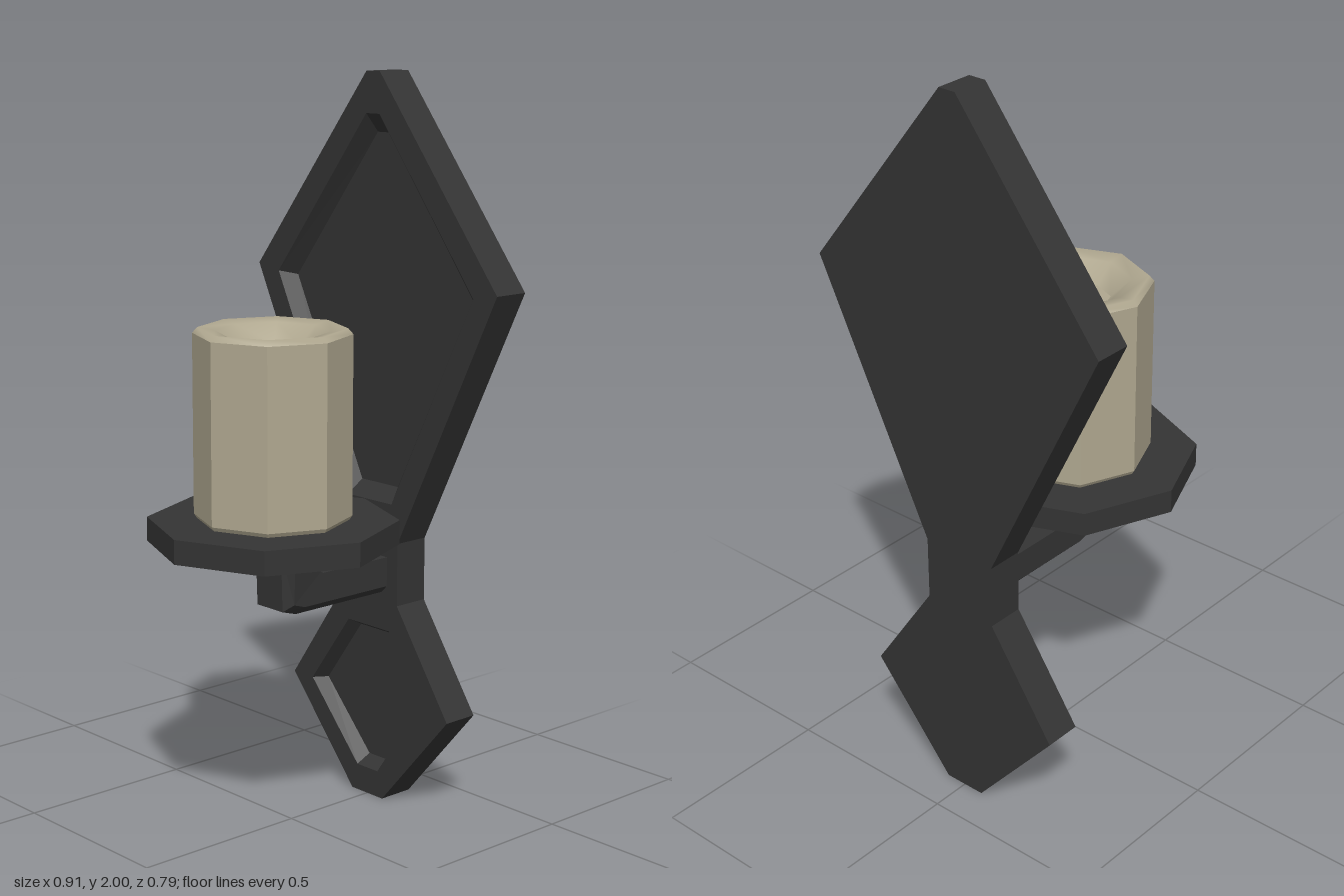
import * as THREE from 'three';

const iron = new THREE.MeshStandardMaterial({ color: 0x343434 });
iron.name = 'dark iron';
const wax = new THREE.MeshStandardMaterial({ color: 0xb0a890 });
wax.name = 'cream wax';

// Flat facets baked into the normals
function faceted(geo) {
  const g = geo.index ? geo.toNonIndexed() : geo;
  g.computeVertexNormals();
  return g;
}

function part(name, geo, material) {
  const mesh = new THREE.Mesh(geo, material);
  mesh.name = name;
  return mesh;
}

// Right half, bottom to top, mirrored into a closed counter-clockwise loop
const mirrored = (half) => [...half, ...half.map(([x, y]) => [-x, y]).reverse()];
const toPoints = (loop) => loop.map(([x, y]) => new THREE.Vector2(x, y));

// Skin a series of equal-length closed rings
function loft(rings) {
  const n = rings[0].length, index = [];
  for (let r = 0; r < rings.length - 1; r++) {
    for (let k = 0; k < n; k++) {
      const a = r * n + k, b = r * n + (k + 1) % n;
      index.push(a, a + n, b + n, a, b + n, b);
    }
  }
  const geo = new THREE.BufferGeometry();
  geo.setAttribute('position', new THREE.Float32BufferAttribute(rings.flat(2), 3));
  geo.setIndex(index);
  return faceted(geo);
}

function slab(loop, holes, z, depth) {
  const shape = new THREE.Shape(toPoints(loop));
  holes.forEach((h) => shape.holes.push(new THREE.Path(toPoints(h))));
  return faceted(new THREE.ExtrudeGeometry(shape, { depth, bevelEnabled: false }).translate(0, 0, z));
}

export function createModel() {
  const model = new THREE.Group();
  model.name = 'wallCandleSconce';
  const back = -0.39, floor = -0.325, front = -0.286;

  // Wall plate: two diamonds joined by a neck, each with a sloped recess
  const outline = mirrored([[0.06, 0], [0.305, 0.285], [0.11, 0.57], [0.11, 0.745], [0.455, 1.455], [0.025, 2]]);
  const recesses = [
    {
      name: 'lowerRecess',
      rim: mirrored([[0.04, 0.075], [0.228, 0.285], [0.08, 0.492]]),
      base: mirrored([[0.032, 0.1], [0.203, 0.285], [0.07, 0.472]]),
    },
    {
      name: 'upperRecess',
      rim: mirrored([[0.085, 0.85], [0.373, 1.44], [0.025, 1.89]]),
      base: mirrored([[0.07, 0.89], [0.335, 1.43], [0.02, 1.84]]),
    },
  ];
  const plate = new THREE.Group();
  plate.name = 'wallPlate';
  plate.add(part('plateBack', slab(outline, [], back, floor - back), iron));
  plate.add(part('plateFrame', slab(outline, recesses.map((r) => r.rim), floor, front - floor), iron));
  for (const { name, rim, base } of recesses) {
    const at = (loop, z) => loop.map(([x, y]) => [x, y, z]);
    plate.add(part(name, loft([at(base, floor), at(rim, front)]), iron));
  }
  model.add(plate);

  // Bent arm: inner and outer [z, y] along the bend, half width, outer half width
  const bend = [
    [[-0.3, 0.7], [-0.3, 0.598], 0.07, 0.05],
    [[-0.05, 0.7], [0.03, 0.598], 0.07, 0.05],
    [[-0.042, 0.705], [0.076, 0.612], 0.07, 0.05],
    [[-0.042, 0.78], [0.081, 0.78], 0.08, 0.05],
  ];
  const arm = bend.map(([i, o, w, f]) => {
    const c = [o[0] + (i[0] - o[0]) * 0.2, o[1] + (i[1] - o[1]) * 0.2];
    return [[-w, i], [w, i], [w, c], [f, o], [-f, o], [-w, c]].map(([x, [z, y]]) => [x, y, z]);
  });
  model.add(part('supportArm', loft(arm), iron));

  // Eight-sided turned parts share one axis
  const turned = (profile) => new THREE.LatheGeometry(toPoints(profile), 8).translate(0, 0, 0.065);

  // Drip tray with a shallow conical underside
  model.add(part('dripTray', faceted(turned([[0, 0.762], [0.07, 0.762], [0.332, 0.79], [0.332, 0.855], [0, 0.855]])), iron));

  // Candle: faceted sides, soft rounded rim and a melted hollow
  const candle = new THREE.Group();
  candle.name = 'candle';
  candle.add(part('candleSides', faceted(turned([[0.198, 0.85], [0.208, 0.866], [0.208, 1.345]])), wax));
  candle.add(part('candleRim', turned([[0.208, 1.345], [0.195, 1.36], [0.15, 1.352], [0.095, 1.305]]), wax));
  candle.add(part('candlePool', faceted(turned([[0.095, 1.305], [0, 1.305]])), wax));
  model.add(candle);

  return model;
}
